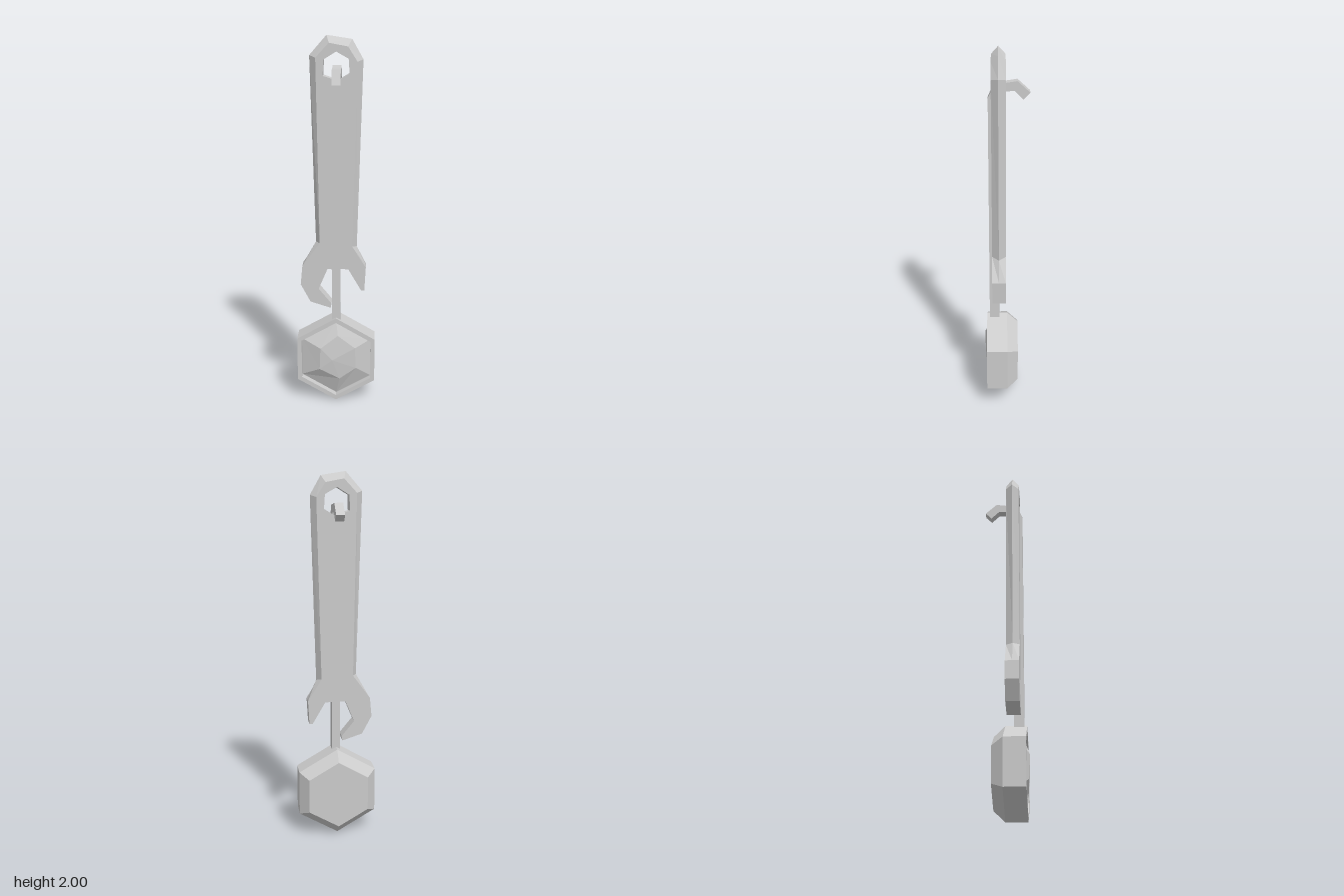
import * as THREE from 'three';

const material = new THREE.MeshStandardMaterial({ color: 0xcccccc, flatShading: true });

// Collects triangles and quads (counter-clockwise corners) into a flat-shaded mesh
function facetMesh(name, build) {
  const pos = [];
  const tri = (a, b, c) => pos.push(...a, ...b, ...c);
  const quad = (a, b, c, d) => { tri(a, b, c); tri(a, c, d); };
  build(tri, quad);
  const g = new THREE.BufferGeometry();
  g.setAttribute('position', new THREE.Float32BufferAttribute(pos, 3));
  return finish(name, g);
}

function finish(name, geometry) {
  const g = geometry.index ? geometry.toNonIndexed() : geometry;
  g.computeVertexNormals();
  const mesh = new THREE.Mesh(g, material);
  mesh.name = name;
  return mesh;
}

// Spanner: ridged edge along the shank, square-edged jaws, hanging hole
function wrench() {
  const back = 0, mid = 0.037, front = 0.073;
  // [ridge x, ridge y, face x, face y], clockwise seen from the front
  const outline = [
    [-0.05, 2.0, -0.037, 1.963], [0.08, 1.98, 0.06, 1.945], [0.137, 1.88, 0.108, 1.87],
    [0.11, 0.89, 0.085, 0.9], [0.16, 0.78], [0.153, 0.65], [0.135, 0.65],
    [0.065, 0.77], [-0.047, 0.77], [-0.095, 0.655], [-0.025, 0.57], [-0.03, 0.545],
    [-0.14, 0.58], [-0.193, 0.68], [-0.183, 0.785],
    [-0.11, 0.915, -0.088, 0.915], [-0.138, 1.9, -0.105, 1.89],
  ].map(([x, y, fx = x, fy = y]) => [x, y, fx, fy]).reverse();
  const ridge = outline.map(p => [p[0], p[1]]);
  const face = outline.map(p => [p[2], p[3]]);
  const hole = [[0, 1.92], [0.063, 1.885], [0.068, 1.81], [0.01, 1.775], [-0.068, 1.8], [-0.065, 1.88]];
  const toV2 = list => list.map(p => new THREE.Vector2(...p));

  return facetMesh('wrench', (tri, quad) => {
    const all = [...face, ...hole];
    for (const [a, b, c] of THREE.ShapeUtils.triangulateShape(toV2(face), [toV2(hole)])) {
      tri([...all[a], front], [...all[b], front], [...all[c], front]);
      tri([...all[c], back], [...all[b], back], [...all[a], back]);
    }
    const band = (lower, zl, upper, zu) => lower.forEach((p, i) => {
      const j = (i + 1) % lower.length;
      quad([...p, zl], [...lower[j], zl], [...upper[j], zu], [...upper[i], zu]);
    });
    band(face, back, ridge, mid);
    band(ridge, mid, face, front);
    band(hole, back, hole, front);
  });
}

// Ladle handle: square bar ending in a hook, profile given as [z, y]
function ladleHandle() {
  const profile = [
    [0.09, 0.47], [0.09, 1.755], [0.055, 1.83], [-0.008, 1.835], [-0.058, 1.843],
    [-0.122, 1.785], [-0.088, 1.75], [-0.044, 1.793], [0.025, 1.79], [0.037, 1.745], [0.037, 0.47],
  ];
  const shape = new THREE.Shape(profile.map(([z, y]) => new THREE.Vector2(-z, y)));
  const g = new THREE.ExtrudeGeometry(shape, { depth: 0.046, bevelEnabled: false });
  g.translate(0, 0, -0.023).rotateY(Math.PI / 2);
  return finish('ladleHandle', g);
}

const bowlY = 0.25, fillZ = 0.068, innerR = 0.219;

// Six-sided bowl with a tapered back and a thin rim
function ladleBowl() {
  const profile = [
    [0, -0.067], [0.189, -0.067], [0.246, -0.008], [0.246, 0.105], [innerR, 0.105], [innerR, fillZ], [0, fillZ - 0.01],
  ].map(p => new THREE.Vector2(...p));
  const g = new THREE.LatheGeometry(profile, 6);
  g.rotateX(Math.PI / 2).translate(0, bowlY, 0);
  return finish('ladleBowl', g);
}

// Lumpy faceted filling inside the bowl
function ladleFilling() {
  const rim = Array.from({ length: 6 }, (_, i) => {
    const a = Math.PI / 2 + i * Math.PI / 3;
    return [Math.cos(a) * innerR, bowlY + Math.sin(a) * innerR, fillZ];
  });
  const crown = [
    [0.01, 0.39, 0.1], [-0.085, 0.32, 0.119], [-0.09, 0.195, 0.115],
    [0.02, 0.135, 0.106], [0.11, 0.2, 0.104], [0.105, 0.32, 0.106],
  ];
  const peak = [-0.02, 0.25, 0.117];
  return facetMesh('ladleFilling', (tri, quad) => rim.forEach((p, i) => {
    const j = (i + 1) % 6;
    quad(p, rim[j], crown[j], crown[i]);
    tri(crown[i], crown[j], peak);
  }));
}

export function createModel() {
  const model = new THREE.Group();
  model.name = 'wrenchAndLadle';
  const ladle = new THREE.Group();
  ladle.name = 'ladle';
  ladle.add(ladleHandle(), ladleBowl(), ladleFilling());
  model.add(wrench(), ladle);
  return model;
}
